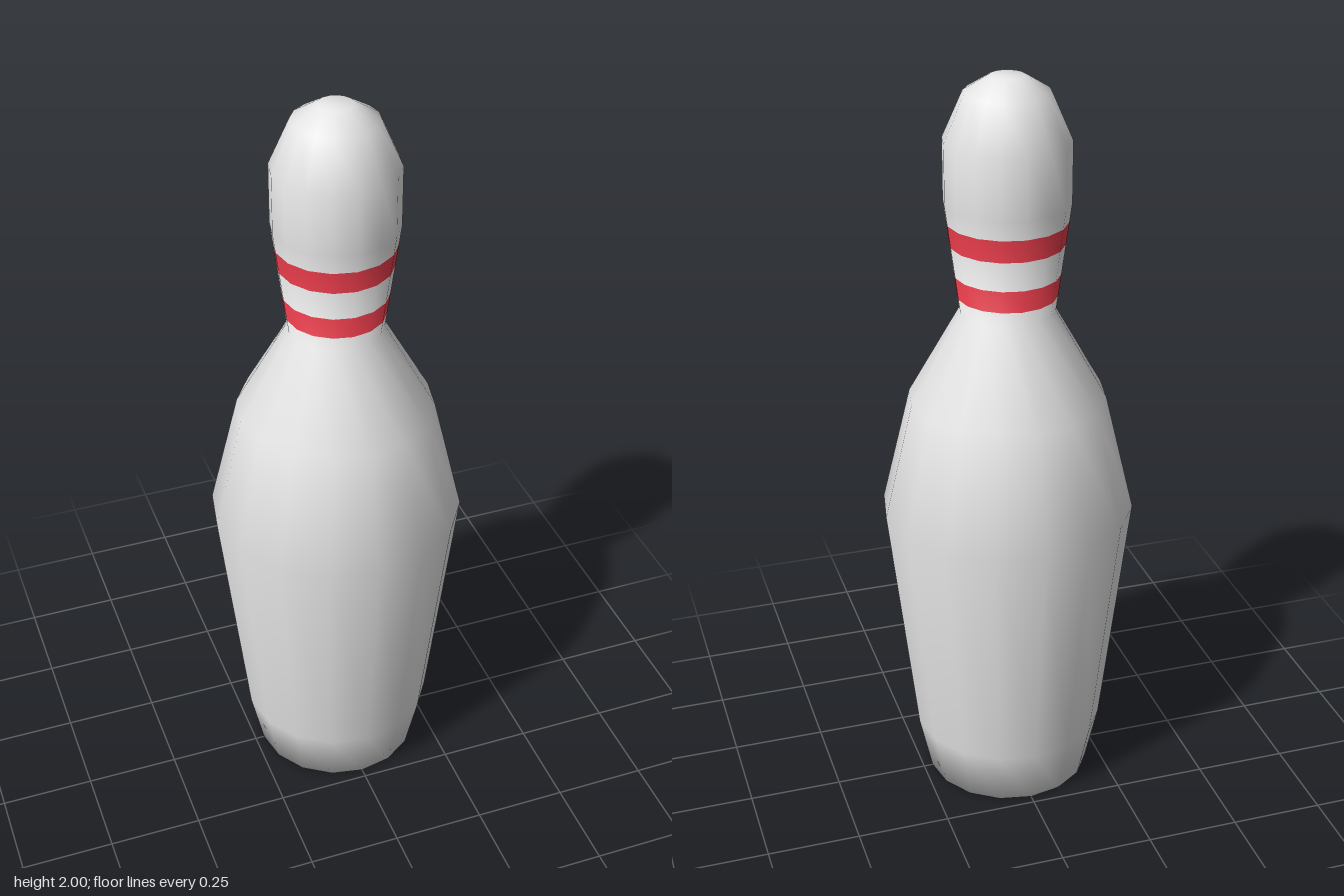
import * as THREE from 'three';

const SIDES = 16;

// Radius and height from the centre of the base to the crown
const PROFILE = [
  [0, 0], [0.225, 0], [0.26, 0.16], [0.337, 0.83], [0.26, 1.15], [0.125, 1.39],
  [0.163, 1.68], [0.163, 1.84], [0.11, 1.96], [0.045, 2], [0, 2],
];
const NECK = 5; // profile row where the striped neck starts
const STRIPE_EDGES = [1.43, 1.49, 1.57, 1.63];

export function createModel() {
  const white = new THREE.MeshStandardMaterial({ color: 0xe6e6e6 });
  white.name = 'white';
  const red = new THREE.MeshStandardMaterial({ color: 0xe03a48 });
  red.name = 'red';

  // Add the stripe edges along the straight neck
  const points = PROFILE.map(([r, y]) => new THREE.Vector2(r, y));
  const low = points[NECK], high = points[NECK + 1];
  const mix = STRIPE_EDGES.map((y) => (y - low.y) / (high.y - low.y));
  points.splice(NECK + 1, 0, ...mix.map((t) => low.clone().lerp(high, t)));

  const lathe = new THREE.LatheGeometry(points, SIDES);
  const rows = points.length;

  // Blend the normals smoothly along the neck
  const normals = lathe.attributes.normal;
  const a = new THREE.Vector3(), b = new THREE.Vector3(), n = new THREE.Vector3();
  for (let i = 0; i <= SIDES; i++) {
    const start = i * rows + NECK;
    a.fromBufferAttribute(normals, start);
    b.fromBufferAttribute(normals, start + mix.length + 1);
    mix.forEach((t, k) => {
      n.lerpVectors(a, b, t).normalize();
      normals.setXYZ(start + 1 + k, n.x, n.y, n.z);
    });
  }

  // Each mesh takes its own rows of the shared surface
  const group = new THREE.Group();
  group.name = 'bowlingPin';
  const addRows = (name, from, to, material) => {
    const index = [];
    for (let i = 0; i < SIDES; i++) {
      for (let j = from; j < to; j++) {
        const p = i * rows + j, q = p + rows;
        if (j > 0) index.push(p, q, p + 1);
        if (j < rows - 2) index.push(q + 1, p + 1, q);
      }
    }
    const geometry = lathe.clone().setIndex(index);
    const mesh = new THREE.Mesh(geometry, material);
    mesh.name = name;
    group.add(mesh);
  };
  // Base cap: the first row only has its outer triangles
  addRows('body', 0, NECK + 1, white);
  addRows('lowerStripe', NECK + 1, NECK + 2, red);
  addRows('neck', NECK + 2, NECK + 3, white);
  addRows('upperStripe', NECK + 3, NECK + 4, red);
  addRows('head', NECK + 4, rows - 1, white);
  return group;
}
